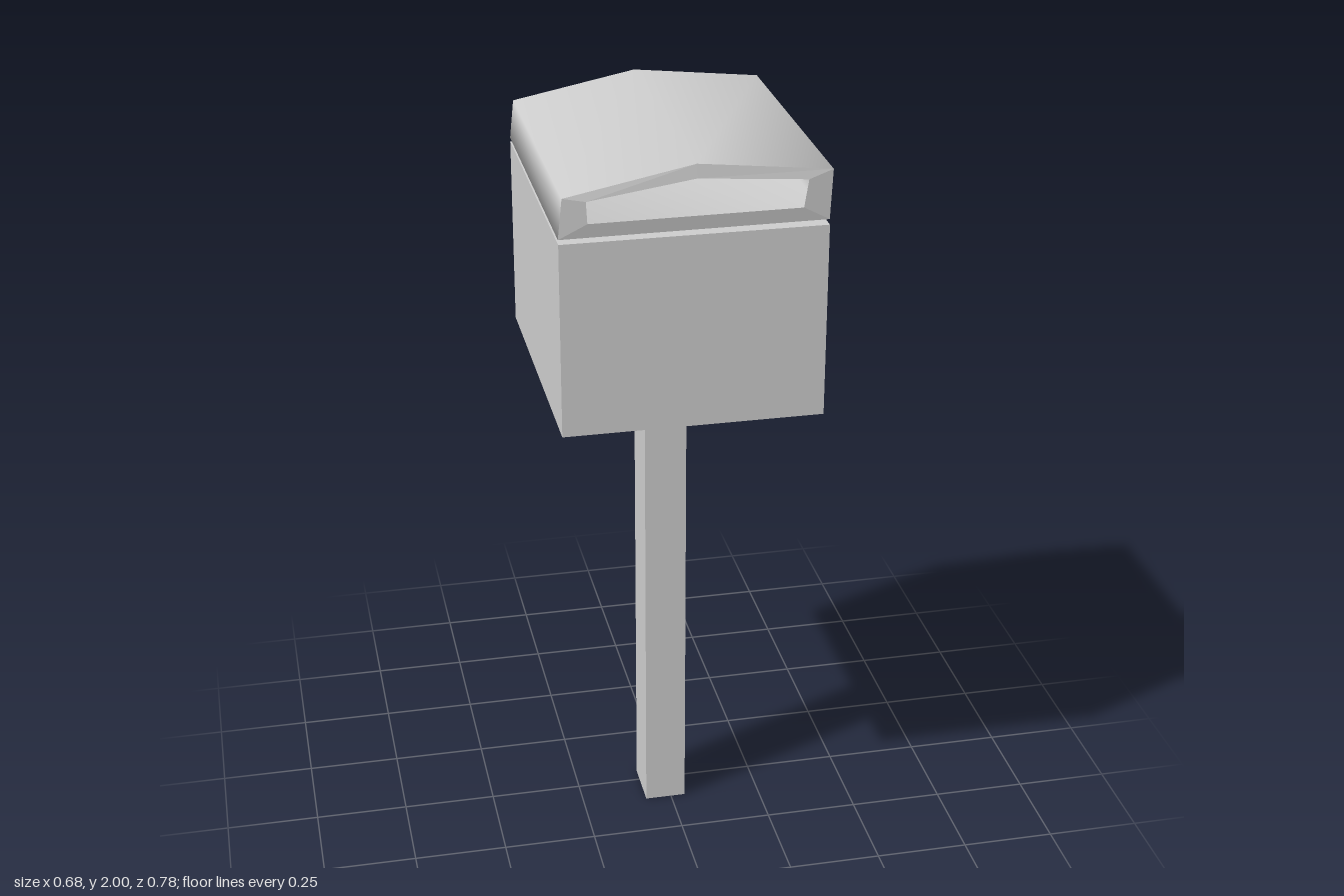
import * as THREE from 'three';

const material = new THREE.MeshStandardMaterial({ color: 0xcccccc, side: THREE.DoubleSide });

function part(name, geometry) {
  const mesh = new THREE.Mesh(geometry, material);
  mesh.name = name;
  return mesh;
}

// Thin-walled box keeping only the listed faces (0 +x, 1 -x, 2 +y, 3 -y, 4 +z, 5 -z)
function openBox(min, max, faces) {
  const size = max.map((v, i) => v - min[i]);
  const geometry = new THREE.BoxGeometry(...size);
  const index = Array.from(geometry.index.array);
  geometry.setIndex(faces.flatMap((f) => index.slice(f * 6, f * 6 + 6)));
  geometry.clearGroups();
  geometry.translate(...max.map((v, i) => (v + min[i]) / 2));
  return geometry;
}

// Closed band of quads between two rings of [x, y], each at its own z
function band(ringA, zA, ringB, zB, flat) {
  const n = ringA.length;
  const positions = [
    ...ringA.flatMap(([x, y]) => [x, y, zA]),
    ...ringB.flatMap(([x, y]) => [x, y, zB]),
  ];
  const index = [];
  for (let i = 0; i < n; i++) {
    const j = (i + 1) % n;
    index.push(i, j, n + j, i, n + j, n + i);
  }
  let geometry = new THREE.BufferGeometry();
  geometry.setAttribute('position', new THREE.Float32BufferAttribute(positions, 3));
  geometry.setIndex(index);
  if (flat) geometry = geometry.toNonIndexed();
  geometry.computeVertexNormals();
  return geometry;
}

export function createModel() {
  const group = new THREE.Group();
  group.name = 'postMountedBox';

  // Post: three-sided channel, open at the back and both ends, poking through the floor
  group.add(part('post', openBox([-0.072, 0, -0.042], [0.04, 1.37, 0.1], [0, 1, 4])));

  // Main compartment, open at the back
  group.add(part('compartment', openBox([-0.338, 1.313, -0.39], [0.332, 1.822, 0.388], [0, 1, 2, 3, 4])));

  // Pitched hood: smooth shell with a slotted front that bulges slightly forward
  const outer = [[-0.338, 1.833], [0.332, 1.835], [0.338, 1.963], [0, 2], [-0.327, 1.936]];
  const slot = [[-0.267, 1.87], [0.265, 1.872], [0.276, 1.943], [0, 1.965], [-0.27, 1.926]];
  const hood = new THREE.Group();
  hood.name = 'hood';
  hood.add(part('hoodShell', band(outer, -0.39, outer, 0.384, false)));
  hood.add(part('slotFrame', band(outer, 0.384, slot, 0.39, true)));
  group.add(hood);

  return group;
}
